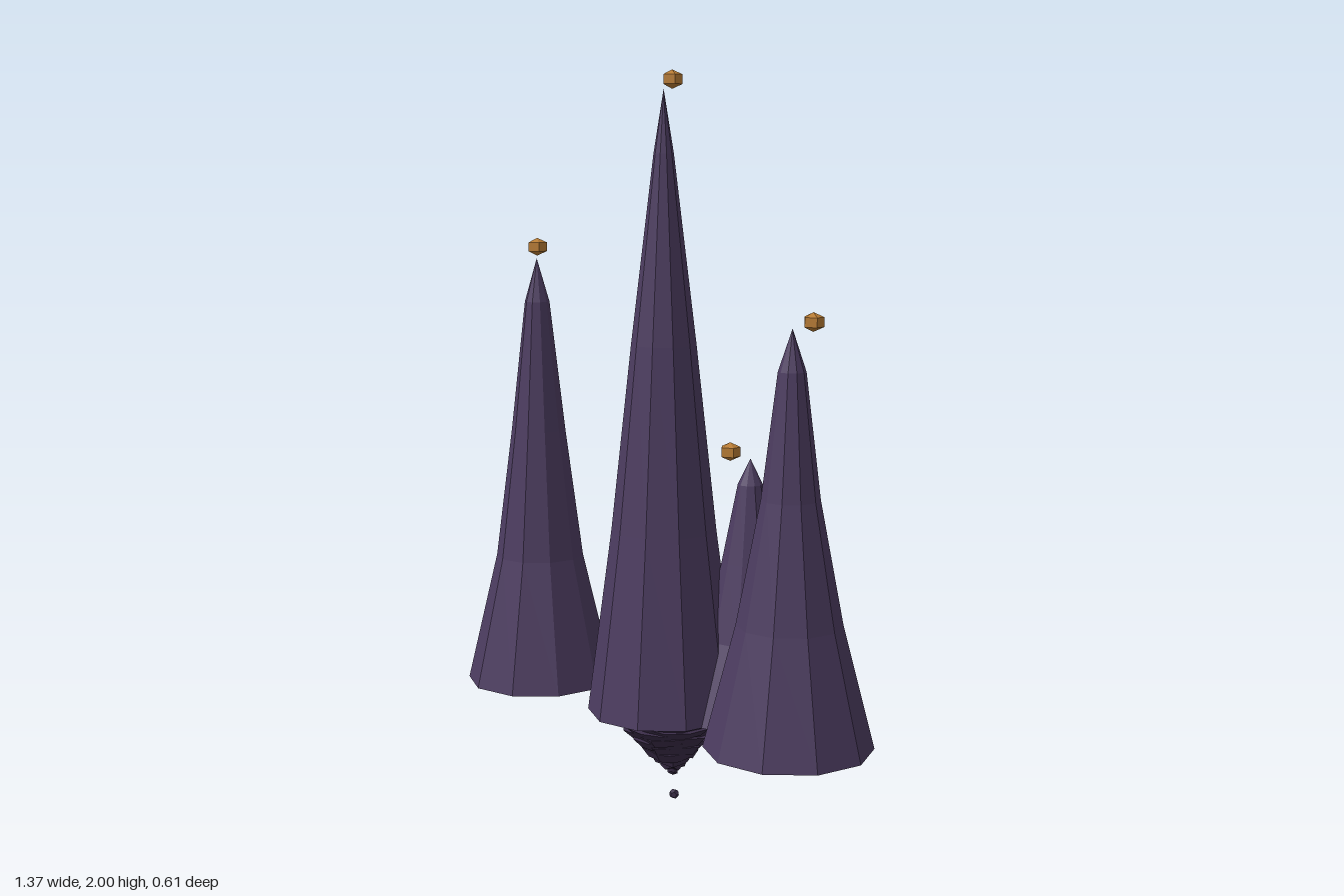
import * as THREE from 'three';

const spireMat = new THREE.MeshStandardMaterial({ color: 0x4c3c60, flatShading: true, side: THREE.DoubleSide });
spireMat.name = 'dusk purple';
const rockMat = new THREE.MeshStandardMaterial({ color: 0x3c2e4a, flatShading: true, side: THREE.DoubleSide });
rockMat.name = 'dark rock';
const goldMat = new THREE.MeshStandardMaterial({ color: 0xb87c34, flatShading: true });
goldMat.name = 'gold';

const BASE = 0.265;

// Seeded random numbers for the ragged rock
function seeded(seed) {
  return () => {
    seed = (seed * 16807) % 2147483647;
    return seed / 2147483647;
  };
}

// Hollow ten-sided spire; radii are given at 0, 30, 60 and 90 % of its height
function spire({ name, x, z, top, radii, turn }) {
  const h = top - BASE;
  const points = radii.map((r, i) => new THREE.Vector2(r, BASE + h * 0.3 * i));
  points.push(new THREE.Vector2(0, top));
  const mesh = new THREE.Mesh(new THREE.LatheGeometry(points, 10, Math.PI / 2 + turn), spireMat);
  mesh.position.set(x, 0, z);
  mesh.name = name;
  return mesh;
}

// Small faceted orb floating over a spire
function orb(name, x, y) {
  const mesh = new THREE.Mesh(new THREE.SphereGeometry(0.032, 5, 3), goldMat);
  mesh.scale.y = 0.78;
  mesh.position.set(x, y, 0.008);
  mesh.name = name;
  return mesh;
}

// Hanging rock: overlapping ragged layers that shrink downwards
function hangingRock() {
  const group = new THREE.Group();
  group.name = 'hangingRock';
  const random = seeded(77);
  const layers = 10, sides = 14;
  for (let i = 0; i < layers; i++) {
    const t = i / (layers - 1);
    const r = 0.157 * (1 - t) ** 0.85 + 0.018;
    const points = [[0, 0.004], [r, 0], [r * 0.78, -0.026], [0, -0.034]]
      .map(([px, py]) => new THREE.Vector2(px, py));
    const geo = new THREE.LatheGeometry(points, sides, random() * 6);
    const pos = geo.attributes.position;
    const jitter = Array.from({ length: sides }, () => [0.86 + random() * 0.2, (random() - 0.5) * 0.012]);
    for (let v = 0; v < pos.count; v++) {
      const ring = v % points.length;
      const [scale, lift] = jitter[Math.floor(v / points.length) % sides];
      if (ring === 1 || ring === 2) {
        pos.setXYZ(v, pos.getX(v) * scale, pos.getY(v) + lift, pos.getZ(v) * scale);
      }
    }
    geo.computeVertexNormals();
    const mesh = new THREE.Mesh(geo, rockMat);
    mesh.position.set(0.006, 0.258 - t * 0.157, 0.018 - t * 0.01);
    mesh.name = 'rockLayer' + (i + 1);
    group.add(mesh);
  }
  return group;
}

export function createModel() {
  const model = new THREE.Group();
  model.name = 'floatingSpires';

  const spires = [
    { name: 'mainSpire', x: 0, z: 0.04, top: 1.95, radii: [0.21, 0.143, 0.088, 0.027], turn: 0.02 },
    { name: 'rightSpire', x: -0.48, z: 0.018, top: 1.49, radii: [0.212, 0.125, 0.077, 0.035], turn: 0.03 },
    { name: 'leftSpire', x: 0.46, z: 0.1, top: 1.35, radii: [0.222, 0.138, 0.076, 0.036], turn: 0 },
    { name: 'backSpire', x: 0.195, z: -0.09, top: 0.97, radii: [0.212, 0.122, 0.076, 0.034], turn: 0.05 },
  ];
  spires.forEach((s) => model.add(spire(s)));

  model.add(orb('mainOrb', 0.003, 1.975), orb('rightOrb', -0.487, 1.522),
    orb('leftOrb', 0.46, 1.36), orb('backOrb', 0.2, 1.002));

  // Rock underneath with a loose pebble below its tip
  model.add(hangingRock());
  const tip = new THREE.Mesh(new THREE.ConeGeometry(0.025, 0.05, 7), rockMat);
  tip.rotation.x = Math.PI;
  tip.position.set(0.006, 0.09, 0.008);
  tip.name = 'rockTip';
  const pebble = new THREE.Mesh(new THREE.DodecahedronGeometry(0.014, 0), rockMat);
  pebble.position.set(0.012, 0.0135, 0.01);
  pebble.name = 'pebble';
  model.add(tip, pebble);

  return model;
}
